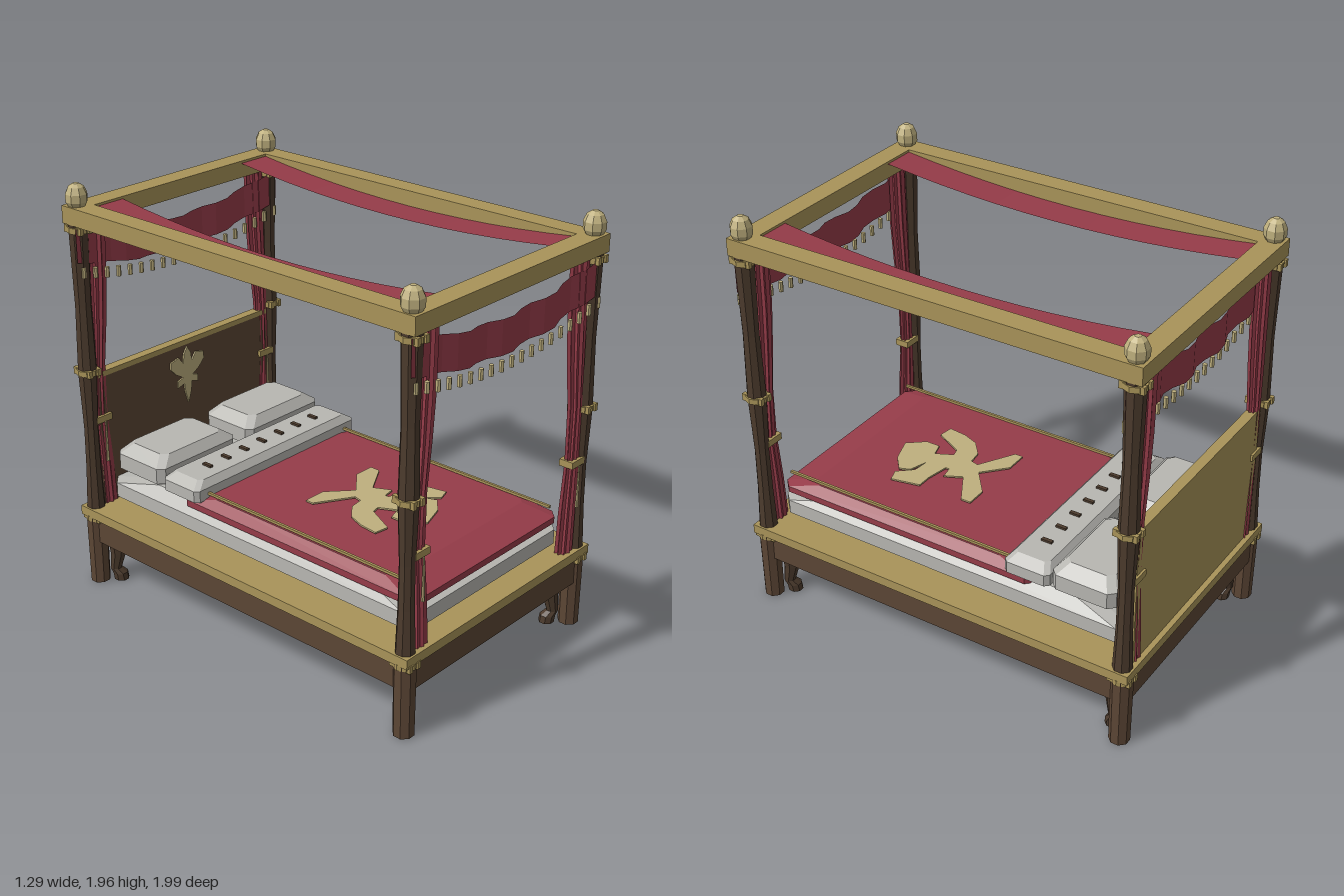
import * as THREE from 'three';
import { ConvexGeometry } from 'three/addons/geometries/ConvexGeometry.js';

const mat = (name, color, extra = {}) => {
  const m = new THREE.MeshStandardMaterial({ color, ...extra });
  m.name = name;
  return m;
};

// faceted normals for a low-poly look
function facet(g) {
  const f = g.index ? g.toNonIndexed() : g;
  f.computeVertexNormals();
  return f;
}

// skin between horizontal rings listed from bottom to top
function loft(rings, capped = true) {
  const n = rings[0].length, idx = [];
  for (let r = 0; r < rings.length - 1; r++) {
    for (let i = 0; i < n; i++) {
      const a = r * n + i, b = r * n + (i + 1) % n;
      idx.push(a, a + n, b, b, a + n, b + n);
    }
  }
  const top = (rings.length - 1) * n;
  if (capped) for (let i = 1; i < n - 1; i++) idx.push(0, i, i + 1, top, top + i + 1, top + i);
  const g = new THREE.BufferGeometry().setFromPoints(rings.flat());
  g.setIndex(idx);
  return facet(g);
}

const ring = (cx, y, cz, rx, rz, n, pleat = 0) => Array.from({ length: n }, (_, i) => {
  const a = (i + 0.5) / n * Math.PI * 2, k = 1 - (i % 2) * pleat;
  return new THREE.Vector3(cx + Math.cos(a) * rx * k, y, cz + Math.sin(a) * rz * k);
});

// open sheet between two edges with the same number of points
function sheet(edgeA, edgeB) {
  const n = edgeA.length, idx = [];
  for (let i = 0; i < n - 1; i++) idx.push(i, n + i, i + 1, i + 1, n + i, n + i + 1);
  const g = new THREE.BufferGeometry().setFromPoints([...edgeA, ...edgeB]);
  g.setIndex(idx);
  return facet(g);
}

// chamfered cushion from levels [y, half width, half depth]
function cushion(levels, cut) {
  const pts = [];
  for (const [y, hx, hz] of levels)
    for (const sx of [-1, 1]) for (const sz of [-1, 1])
      pts.push(new THREE.Vector3(sx * hx, y, sz * (hz - cut)), new THREE.Vector3(sx * (hx - cut), y, sz * hz));
  return new ConvexGeometry(pts);
}

const plate = (pts) => new THREE.ExtrudeGeometry(
  new THREE.Shape(pts.map(([x, y]) => new THREE.Vector2(x, y))), { depth: 0.008, bevelEnabled: false });

export function createModel() {
  const bed = new THREE.Group();
  bed.name = 'canopyBed';
  const wood = mat('wood', 0x5c4635);
  const darkWood = mat('darkWood', 0x4c3b2d);
  const gold = mat('gold', 0xa99459);
  const paleGold = mat('paleGold', 0xbfb07e);
  const red = mat('redCloth', 0x963c49);
  const drape = mat('redDrape', 0x963c49, { side: THREE.DoubleSide });
  const linen = mat('linen', 0xb8b7b2);

  const add = (name, geo, m, x = 0, y = 0, z = 0, parent = bed) => {
    const mesh = new THREE.Mesh(geo, m);
    mesh.name = name;
    mesh.position.set(x, y, z);
    parent.add(mesh);
    return mesh;
  };
  const box = (name, m, w, h, d, x, y, z) => add(name, new THREE.BoxGeometry(w, h, d), m, x, y, z);
  const drum = (r, h, n = 8) => facet(new THREE.CylinderGeometry(r, r, h, n));

  // base and ledge
  box('bedBase', wood, 1.23, 0.13, 1.95, 0, 0.285, 0);
  box('bedLedge', gold, 1.28, 0.045, 1.98, 0, 0.3725, 0);

  // canopy frame
  for (const s of [-1, 1]) {
    box('canopySideRail', gold, 0.1, 0.08, 1.98, s * 0.585, 1.82, 0);
    box('canopyEndRail', gold, 1.07, 0.08, 0.1, 0, 1.82, s * 0.94);
  }

  // sagging cloth strips along both canopy sides
  for (const s of [-1, 1]) {
    const edge = (x) => Array.from({ length: 13 }, (_, i) => {
      const t = i / 6 - 1;
      return new THREE.Vector3(s * x, 1.79 + 0.06 * t * t, t * 0.9);
    });
    add('canopyStrip', sheet(edge(0.37), edge(0.535)), drape);
  }

  // corner posts with legs, rings, finials and curtains
  const postRings = [[0.34, 0.046], [0.6, 0.036], [0.8, 0.034], [1.08, 0.045], [1.4, 0.038], [1.78, 0.046]];
  const footRings = [[0, 0.1, 0.036], [0.035, 0.095, 0.036], [0.06, 0.075, 0.028], [0.14, 0.09, 0.038],
    [0.19, 0.088, 0.042], [0.23, 0.07, 0.045]];
  const finialRings = [[1.855, 0.036], [1.88, 0.05], [1.915, 0.05], [1.945, 0.036], [1.96, 0.014]];
  // y, outer x, inner x, half depth
  const curtainRings = [[0.395, 0.56, 0.465, 0.034], [0.6, 0.565, 0.475, 0.032], [0.83, 0.57, 0.495, 0.026],
    [1.1, 0.56, 0.495, 0.03], [1.3, 0.555, 0.472, 0.034], [1.5, 0.55, 0.455, 0.036], [1.78, 0.545, 0.448, 0.036]];
  for (const sx of [-1, 1]) for (const sz of [-1, 1]) {
    const corner = new THREE.Group();
    corner.name = 'corner';
    corner.position.set(sx * 0.59, 0, sz * 0.94);
    bed.add(corner);
    const part = (name, geo, m, x = 0, y = 0, z = 0) => add(name, geo, m, x, y, z, corner);
    part('post', loft(postRings.map(([y, r]) => ring(0, y, 0, r, r, 8))), darkWood);
    part('leg', loft([[0, 0.047], [0.35, 0.05]].map(([y, r]) => ring(0, y, 0, r, r, 8))), wood);
    part('curvedFoot', loft(footRings.map(([y, d, r]) =>
      ring(-sx * d * 0.707, y, -sz * d * 0.707, r, r, 8))), darkWood);
    part('finial', loft(finialRings.map(([y, r]) => ring(0, y, 0, r, r, 8))), paleGold);
    for (const y of [0.342, 1.08, 1.755]) {
      part('postRing', drum(0.053, 0.026), gold, 0, y, 0);
      for (const k of [-1, 1]) part('ringStud', new THREE.BoxGeometry(0.02, 0.034, 0.11), gold, k * 0.025, y, 0);
    }
    // gathered curtain, tieback and hanging cord
    part('curtain', loft(curtainRings.map(([y, o, i, d]) =>
      ring(sx * ((o + i) / 2 - 0.59), y, 0, (o - i) / 2 + 0.003, d, 18, 0.28), ), false), drape);
    part('tieback', new THREE.BoxGeometry(0.09, 0.032, 0.07), gold, -sx * 0.055, 0.833, 0);
    part('tiebackCord', facet(new THREE.CylinderGeometry(0.004, 0.008, 0.2, 6)), paleGold, -sx * 0.055, 0.72, 0.04);
  }

  // scalloped valances with tassels at both ends
  const sag = (x) => 1.68 + 0.22 * x * x;
  for (const z of [0.965, -0.915]) {
    const edge = (drop) => Array.from({ length: 19 }, (_, i) => {
      const x = (i / 9 - 1) * 0.635;
      return new THREE.Vector3(x, sag(x) - drop, z + 0.016 * Math.sin(i * Math.PI / 2 + 0.6));
    });
    add('valance', sheet(edge(0), edge(0.155)), drape);
    for (let i = -9; i <= 9; i++) {
      const x = i * 0.067;
      add('tassel', drum(0.011, 0.048, 6), paleGold, x, sag(x) - 0.198, z + 0.008);
    }
  }

  // headboard with gold backing and crest
  box('headboardBacking', gold, 1.1, 0.665, 0.02, 0, 0.7275, -0.955);
  box('headboardPanel', wood, 1.1, 0.64, 0.025, 0, 0.715, -0.9325);
  box('headboardTrim', gold, 1.1, 0.025, 0.045, 0, 1.0475, -0.94);
  const half = [[0, 1.025], [0.022, 0.99], [0.028, 0.945], [0.055, 0.982], [0.105, 0.97], [0.108, 0.935],
    [0.075, 0.9], [0.03, 0.872], [0.065, 0.862], [0.065, 0.828], [0.025, 0.84], [0.018, 0.79], [0, 0.735]];
  const crest = [...half, ...half.slice(1, -1).reverse().map(([x, y]) => [-x, y])];
  add('headboardCrest', plate(crest.reverse()), paleGold, 0, 0, -0.92);

  // mattress and blanket
  add('mattress', cushion([[0.395, 0.46, 0.78], [0.44, 0.52, 0.915], [0.51, 0.52, 0.915], [0.56, 0.47, 0.68]], 0.05), linen);
  add('blanket', cushion([[0.53, 0.47, 0.62], [0.545, 0.505, 0.68], [0.575, 0.505, 0.68], [0.612, 0.465, 0.53]], 0.04),
    red, 0, 0, 0.235);
  for (const s of [-1, 1]) box('blanketCord', gold, 0.012, 0.012, 1.22, s * 0.455, 0.622, 0.285);

  // leafy blanket ornament
  const leaf = [[-0.22, 0.06], [-0.11, 0.06], [0, 0.16], [0.12, 0.06], [0.22, 0.06], [0.22, 0.11], [0.07, 0.2],
    [0.11, 0.28], [0.05, 0.29], [0.05, 0.31], [0.16, 0.33], [0.23, 0.33], [0.26, 0.47], [0.2, 0.49], [0.14, 0.42],
    [0.06, 0.41], [0.15, 0.44], [0.17, 0.49], [0.1, 0.55], [-0.02, 0.59], [-0.085, 0.51], [-0.085, 0.44],
    [-0.02, 0.42], [-0.06, 0.34], [-0.1, 0.35], [-0.17, 0.49], [-0.24, 0.48], [-0.23, 0.39], [-0.2, 0.31],
    [-0.13, 0.25], [-0.06, 0.24], [-0.05, 0.2], [-0.22, 0.1]];
  add('blanketOrnament', plate(leaf.map(([x, z]) => [x, -z])), paleGold, 0, 0.618, 0).rotation.x = -Math.PI / 2;

  // bolster with buttons
  add('bolster', cushion([[0.56, 0.48, 0.075], [0.595, 0.53, 0.112], [0.65, 0.53, 0.112], [0.682, 0.48, 0.085]], 0.02),
    linen, 0, 0, -0.425);
  for (let i = -3; i <= 3; i++) box('bolsterButton', darkWood, 0.018, 0.012, 0.05, i * 0.117, 0.686, -0.425);

  // pillows
  for (const s of [-1, 1]) {
    add('pillow', cushion([[0.57, 0.19, 0.115], [0.605, 0.245, 0.153], [0.68, 0.245, 0.153], [0.724, 0.185, 0.115]], 0.03),
      linen, s * 0.285, 0, -0.698);
  }
  return bed;
}
